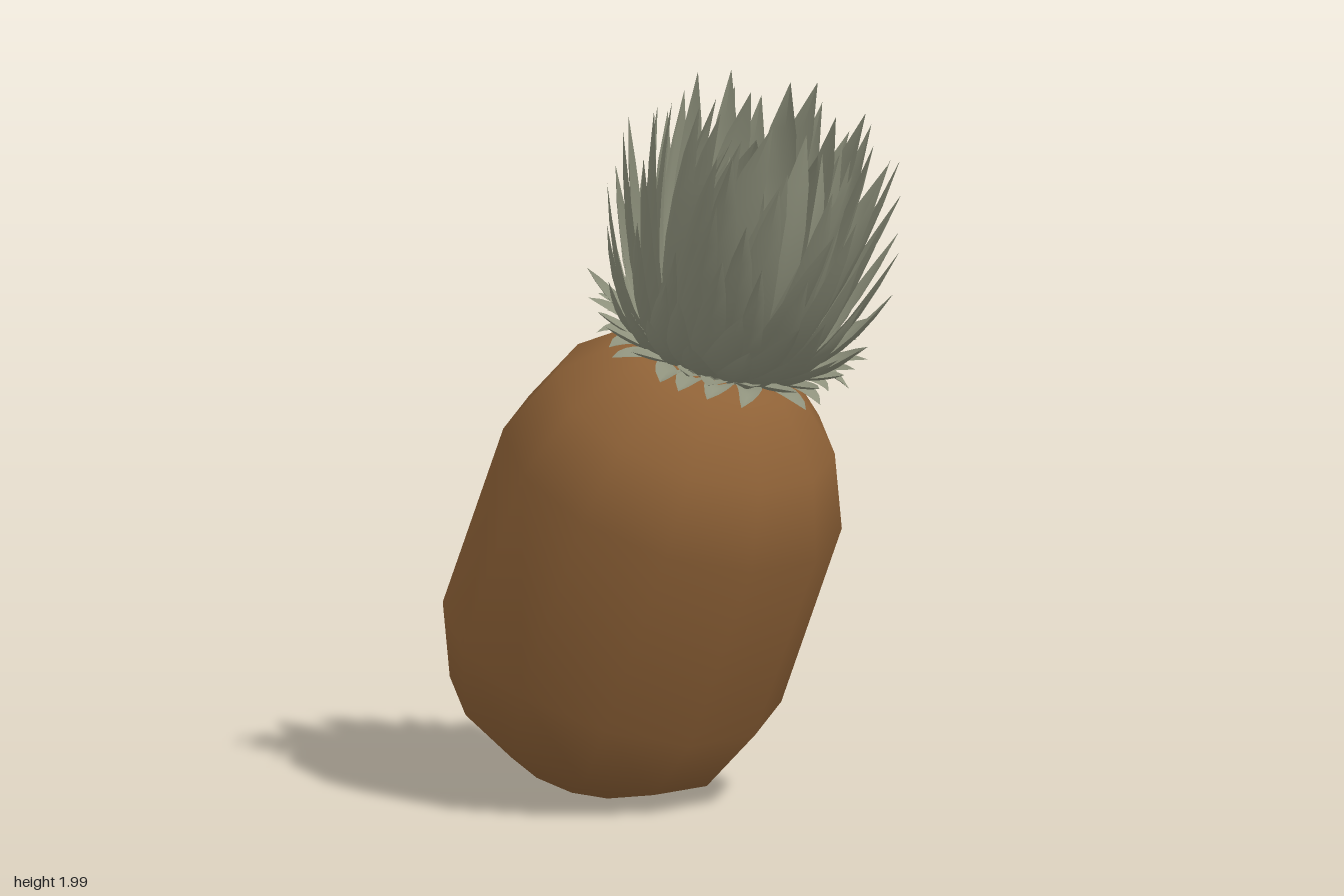
import * as THREE from 'three';
import { mergeGeometries } from 'three/addons/utils/BufferGeometryUtils.js';

// Small seeded generator, returns -1..1
function seeded(seed) {
  let s = seed;
  return () => {
    s = (s * 16807) % 2147483647;
    return (s / 2147483647) * 2 - 1;
  };
}

// Tilts an object so that its y axis points along (x, 1, z)
function lean(object, x, z) {
  object.quaternion.setFromUnitVectors(
    new THREE.Vector3(0, 1, 0),
    new THREE.Vector3(x, 1, z).normalize()
  );
}

// One pointed leaf: a shallow V section swept along a curve in the (radius, height) plane
function leafGeometry(base, bend, tip, width, angle, twist) {
  const curve = new THREE.QuadraticBezierCurve(base, bend, tip);
  const steps = 6;
  const positions = [];
  const index = [];
  for (let i = 0; i <= steps; i++) {
    const t = i / steps;
    const p = curve.getPoint(t);
    const d = curve.getTangent(t);
    const half = 0.5 * width * (0.75 + 0.9 * t) * Math.pow(1 - t, 0.75);
    for (const side of [-1, 0, 1]) {
      // the rims curl inwards around the crown
      const curl = side === 0 ? 0 : half * 0.4;
      const swing = twist * t * t;
      positions.push(side * half + swing, p.y + d.x * curl, p.x - d.y * curl);
    }
    if (i < steps) {
      const a = i * 3;
      for (const k of [a, a + 1]) index.push(k, k + 1, k + 4, k, k + 4, k + 3);
    }
  }
  const g = new THREE.BufferGeometry();
  g.setAttribute('position', new THREE.Float32BufferAttribute(positions, 3));
  g.setIndex(index);
  g.rotateY(angle);
  g.computeVertexNormals();
  return g;
}

export function createModel() {
  const skin = new THREE.MeshStandardMaterial({ color: 0x8f6237 });
  skin.name = 'brown skin';
  const green = new THREE.MeshStandardMaterial({ color: 0x8f927d, side: THREE.DoubleSide });
  green.name = 'grey green leaf';

  const model = new THREE.Group();
  model.name = 'pineapple';

  // Twelve-sided barrel body with rounded ends, a little taller at the crown
  const profile = [
    [0, -0.64], [0.195, -0.605], [0.385, -0.475], [0.468, -0.27],
    [0.468, 0.27], [0.385, 0.475], [0.225, 0.635], [0, 0.65],
  ].map(([r, y]) => new THREE.Vector2(r, y));
  const body = new THREE.Mesh(new THREE.LatheGeometry(profile, 12, Math.PI / 12), skin);
  body.name = 'body';
  body.position.set(-0.13, 0.625, -0.055);
  lean(body, 0.39, 0.21);
  model.add(body);

  // The crown stands a little more upright than the body
  const crown = new THREE.Group();
  crown.name = 'crown';
  crown.position.set(0.12, 1.225, 0.085);
  lean(crown, 0.28, 0.15);
  model.add(crown);

  // Rounded heart closing the bottom of the leaf cup
  const heart = new THREE.Mesh(
    new THREE.SphereGeometry(0.18, 12, 5, 0, Math.PI * 2, 0, Math.PI / 2), green);
  heart.name = 'crownHeart';
  heart.scale.y = 1.7;
  crown.add(heart);

  // Crown rows, outermost first: base, bend and tip as (radius, height), width, count
  const rows = [
    [0.20, 0.00, 0.27, 0.03, 0.33, 0.00, 0.10, 20],
    [0.20, 0.01, 0.29, 0.03, 0.36, 0.07, 0.10, 20],
    [0.20, 0.01, 0.31, 0.04, 0.37, 0.16, 0.11, 18],
    [0.19, 0.01, 0.32, 0.06, 0.38, 0.28, 0.12, 17],
    [0.19, 0.01, 0.32, 0.09, 0.39, 0.42, 0.12, 16],
    [0.18, 0.01, 0.31, 0.16, 0.37, 0.55, 0.13, 14],
    [0.17, 0.01, 0.30, 0.22, 0.33, 0.65, 0.14, 13],
    [0.16, 0.01, 0.28, 0.27, 0.27, 0.71, 0.16, 11],
    [0.14, 0.01, 0.26, 0.30, 0.19, 0.72, 0.19, 8],
    [0.14, 0.01, 0.25, 0.28, 0.13, 0.58, 0.22, 6],
  ];
  const rand = seeded(731);
  rows.forEach(([br, by, mr, my, tr, ty, width, count], row) => {
    const leaves = [];
    for (let i = 0; i < count; i++) {
      const angle = ((i + (row % 2) * 0.5 + rand() * 0.2) / count) * Math.PI * 2;
      const reach = (ty - by) * 0.07 * rand();
      leaves.push(leafGeometry(
        new THREE.Vector2(br, by),
        new THREE.Vector2(mr, my),
        new THREE.Vector2(tr + 0.025 * rand(), ty + reach),
        width * (1 + 0.12 * rand()),
        angle,
        0.06 * rand()
      ));
    }
    const mesh = new THREE.Mesh(mergeGeometries(leaves), green);
    mesh.name = `leafRow${row + 1}`;
    crown.add(mesh);
  });

  return model;
}
